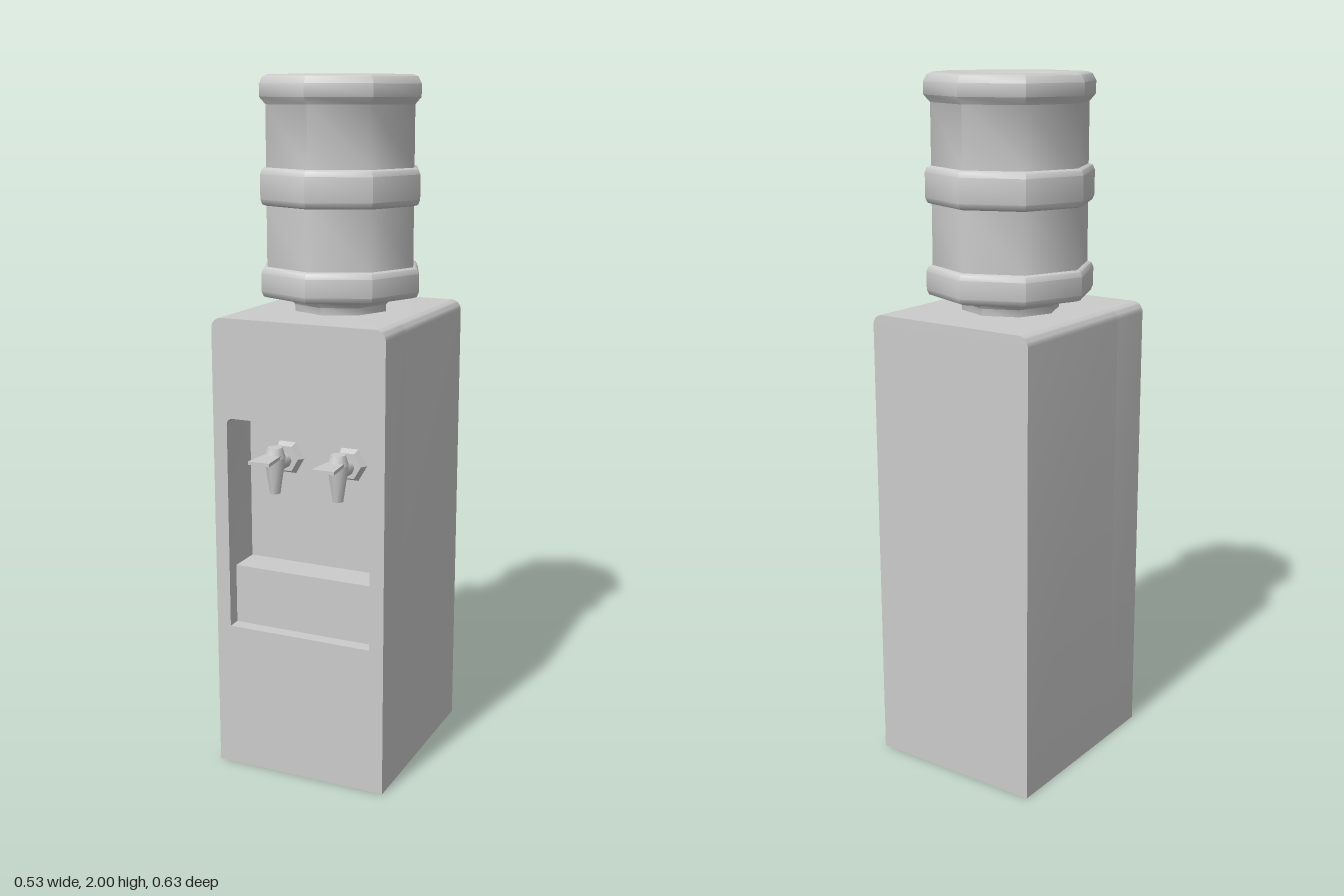
import * as THREE from 'three';
import { toCreasedNormals } from 'three/addons/utils/BufferGeometryUtils.js';

const W = 0.263, H = 1.345, BACK = -0.317, FRONT = 0.273, WALL = 0.133;

export function createModel() {
  const model = new THREE.Group();
  const grey = new THREE.MeshStandardMaterial({ color: 0xcccccc });

  function add(parent, name, geometry, x = 0, y = 0, z = 0, crease = 0.6) {
    const mesh = new THREE.Mesh(toCreasedNormals(geometry, crease), grey);
    mesh.name = name;
    mesh.position.set(x, y, z);
    parent.add(mesh);
    return mesh;
  }

  // Upright rectangle whose two top corners are rounded
  function trace(path, w, y0, y1, r) {
    path.moveTo(-w, y0);
    path.lineTo(w, y0);
    path.lineTo(w, y1 - r);
    path.absarc(w - r, y1 - r, r, 0, Math.PI / 2, false);
    path.absarc(-w + r, y1 - r, r, Math.PI / 2, Math.PI, false);
    path.closePath();
    return path;
  }
  const extrude = (shape, depth) =>
    new THREE.ExtrudeGeometry(shape, { depth, bevelEnabled: false, curveSegments: 3 });

  // Cabinet: solid rear and a front frame around the dispensing recess
  add(model, 'cabinetRear', extrude(trace(new THREE.Shape(), W, 0, H, 0.03), WALL - BACK), 0, 0, BACK);
  const frame = trace(new THREE.Shape(), W, 0, H, 0.03);
  frame.holes.push(trace(new THREE.Path(), 0.22, 0.435, 1.06, 0.018));
  add(model, 'cabinetFront', extrude(frame, FRONT - WALL), 0, 0, WALL);

  // Drip shelf, set slightly back inside the recess
  add(model, 'dripShelf', new THREE.BoxGeometry(0.44, 0.175, 0.1), 0, 0.5225, WALL + 0.05);

  // Eight-sided water bottle: neck, three bulging bands and a dished end
  const band = (y0, y1) => [
    [0.222, y0], [0.234, y0 + 0.004], [0.24, y0 + 0.018],
    [0.24, y1 - 0.018], [0.234, y1 - 0.004], [0.222, y1],
  ];
  const profile = [
    [0.14, 1.335], [0.14, 1.365], [0.165, 1.388],
    ...band(1.388, 1.475), ...band(1.645, 1.75),
    [0.222, 1.92], [0.24, 1.94], [0.24, 1.975], [0.23, 1.994], [0.215, 2.0], [0.198, 1.994],
    [0.12, 1.975], [0.03, 1.966], [0, 1.97],
  ].map(([r, y]) => new THREE.Vector2(r, y));
  add(model, 'waterBottle', new THREE.LatheGeometry(profile, 8), 0, 0, -0.023, 0.85);

  // Lever: thin plate that widens towards the front
  const lever = new THREE.Shape([
    [-0.022, -0.205], [0.022, -0.205], [0.033, -0.315], [-0.033, -0.315],
  ].map(([x, y]) => new THREE.Vector2(x, y)));

  // Two taps mounted on the recess wall
  for (const side of [-1, 1]) {
    const tap = new THREE.Group();
    tap.name = side > 0 ? 'leftTap' : 'rightTap';
    tap.position.x = side * 0.0985;
    model.add(tap);

    const flange = new THREE.CylinderGeometry(0.042, 0.053, 0.02, 6);
    flange.rotateY(Math.PI / 6).rotateX(Math.PI / 2);
    add(tap, 'flange', flange, 0, 0.927, WALL + 0.01);

    const pipe = new THREE.CylinderGeometry(0.022, 0.022, 0.08, 8).rotateX(Math.PI / 2);
    add(tap, 'pipe', pipe, 0, 0.922, WALL + 0.05, 0.9);

    add(tap, 'spout', new THREE.CylinderGeometry(0.032, 0.016, 0.105, 8), 0, 0.8925, 0.215, 0.9);
    add(tap, 'cap', new THREE.CylinderGeometry(0.022, 0.032, 0.03, 8), 0, 0.96, 0.215, 0.9);

    const plate = extrude(lever, 0.01).rotateX(-Math.PI / 2);
    add(tap, 'lever', plate, 0, 0.945, 0);
  }
  return model;
}
